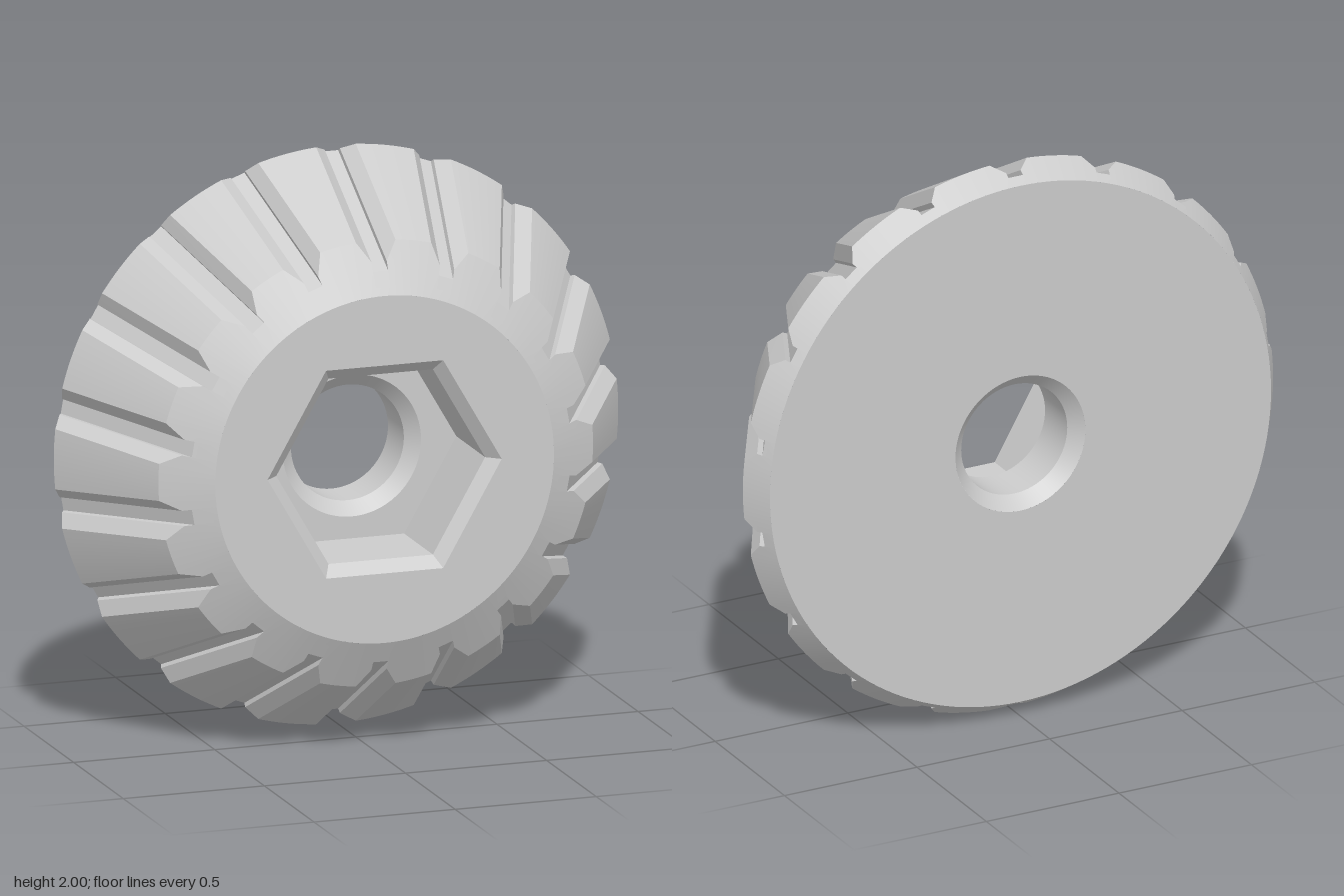
import * as THREE from 'three';
import { toCreasedNormals } from 'three/addons/utils/BufferGeometryUtils.js';

const GROOVES = 18, RIDGE_STEPS = 8;
const BACK = -0.29, FRONT = 0.29;
const BACK_R = 0.945, RIM_R = 1, SHOULDER_R = 0.77, FACE_R = 0.6;
const FLOOR = -0.04, BORE_R = 0.2, BORE_MOUTH_R = 0.245;
const HEX_R = 0.37, HEX_MOUTH_R = 0.415;

// Radius and z of the four profile points when the cone is sunk by depth d
function profile(d) {
  const cone = (RIM_R - SHOULDER_R) / 0.4;
  const backSlope = (RIM_R - BACK_R) / 0.09;
  const frontSlope = (SHOULDER_R - FACE_R) / 0.09;
  const tb = d / (backSlope + cone);
  const tf = d / (frontSlope - cone);
  return [
    [BACK_R, BACK],
    [RIM_R - backSlope * tb, -0.2 - tb],
    [SHOULDER_R - frontSlope * tf, 0.2 + tf],
    [FACE_R, FRONT],
  ];
}

// Grooved bevelled rim: columns of profile points swept around z
function rimGeometry() {
  const section = [[-0.07, 0], [-0.027, 0.045], [-0.027, 0.066], [0.027, 0.066], [0.027, 0.045], [0.07, 0]];
  const step = (Math.PI * 2) / GROOVES;
  const columns = [];
  const addColumn = (d, angleAt) => columns.push(profile(d).map(([r, z]) => {
    const a = angleAt(r);
    return new THREE.Vector3(r * Math.cos(a), r * Math.sin(a), z);
  }));
  for (let g = 0; g < GROOVES; g++) {
    const mid = Math.PI / 2 + g * step;
    for (const [side, d] of section) addColumn(d, (r) => mid + Math.asin(side / r));
    for (let i = 1; i < RIDGE_STEPS; i++) {
      addColumn(0, (r) => {
        const edge = Math.asin(0.07 / r);
        return mid + edge + (i / RIDGE_STEPS) * (step - 2 * edge);
      });
    }
  }

  const positions = [];
  const addTriangle = (a, b, c) => {
    const area = b.clone().sub(a).cross(c.clone().sub(a)).length();
    if (area > 1e-5) for (const p of [a, b, c]) positions.push(p.x, p.y, p.z);
  };
  columns.forEach((col, i) => {
    const next = columns[(i + 1) % columns.length];
    for (let k = 0; k < 3; k++) {
      addTriangle(col[k], next[k], next[k + 1]);
      addTriangle(col[k], next[k + 1], col[k + 1]);
    }
  });
  const geometry = new THREE.BufferGeometry();
  geometry.setAttribute('position', new THREE.Float32BufferAttribute(positions, 3));
  return toCreasedNormals(geometry, 0.3);
}

// Points of a regular polygon with a corner on +x
function polygon(radius, sides) {
  return Array.from({ length: sides }, (_, i) => {
    const a = (i / sides) * Math.PI * 2;
    return new THREE.Vector2(radius * Math.cos(a), radius * Math.sin(a));
  });
}

// Flat plate facing +z with a hole
function plate(outer, inner, z) {
  const shape = new THREE.Shape(outer);
  shape.holes.push(new THREE.Path(inner));
  return new THREE.ShapeGeometry(shape).translate(0, 0, z);
}

// Turned surface around z from [radius, z] points, sharp at its edges
function turned(points, sides) {
  const lathe = new THREE.LatheGeometry(points.map(([r, z]) => new THREE.Vector2(r, z)), sides, Math.PI / 2);
  return toCreasedNormals(lathe.rotateX(Math.PI / 2), 0.3);
}

export function createModel() {
  const model = new THREE.Group();
  model.name = 'groovedKnob';
  const material = new THREE.MeshStandardMaterial({ color: 0xcccccc });
  const add = (name, geometry) => {
    const mesh = new THREE.Mesh(geometry, material);
    mesh.name = name;
    mesh.position.y = 1;
    model.add(mesh);
  };

  add('groovedRim', rimGeometry());
  add('frontFace', plate(polygon(FACE_R, 144), polygon(HEX_MOUTH_R, 6), FRONT));
  add('backFace', new THREE.RingGeometry(BORE_MOUTH_R, BACK_R, 144).rotateY(Math.PI).translate(0, 0, BACK));

  // Hexagonal nut pocket with a bevelled mouth
  add('hexPocket', turned([[HEX_MOUTH_R, FRONT], [HEX_R, FRONT - 0.04], [HEX_R, FLOOR]], 6));
  add('pocketFloor', plate(polygon(HEX_R, 6), polygon(BORE_MOUTH_R, 72), FLOOR));

  // Through bore, bevelled at both ends
  add('bore', turned([
    [BORE_MOUTH_R, FLOOR], [BORE_R, FLOOR - 0.045], [BORE_R, BACK + 0.045], [BORE_MOUTH_R, BACK],
  ], 72));
  return model;
}
